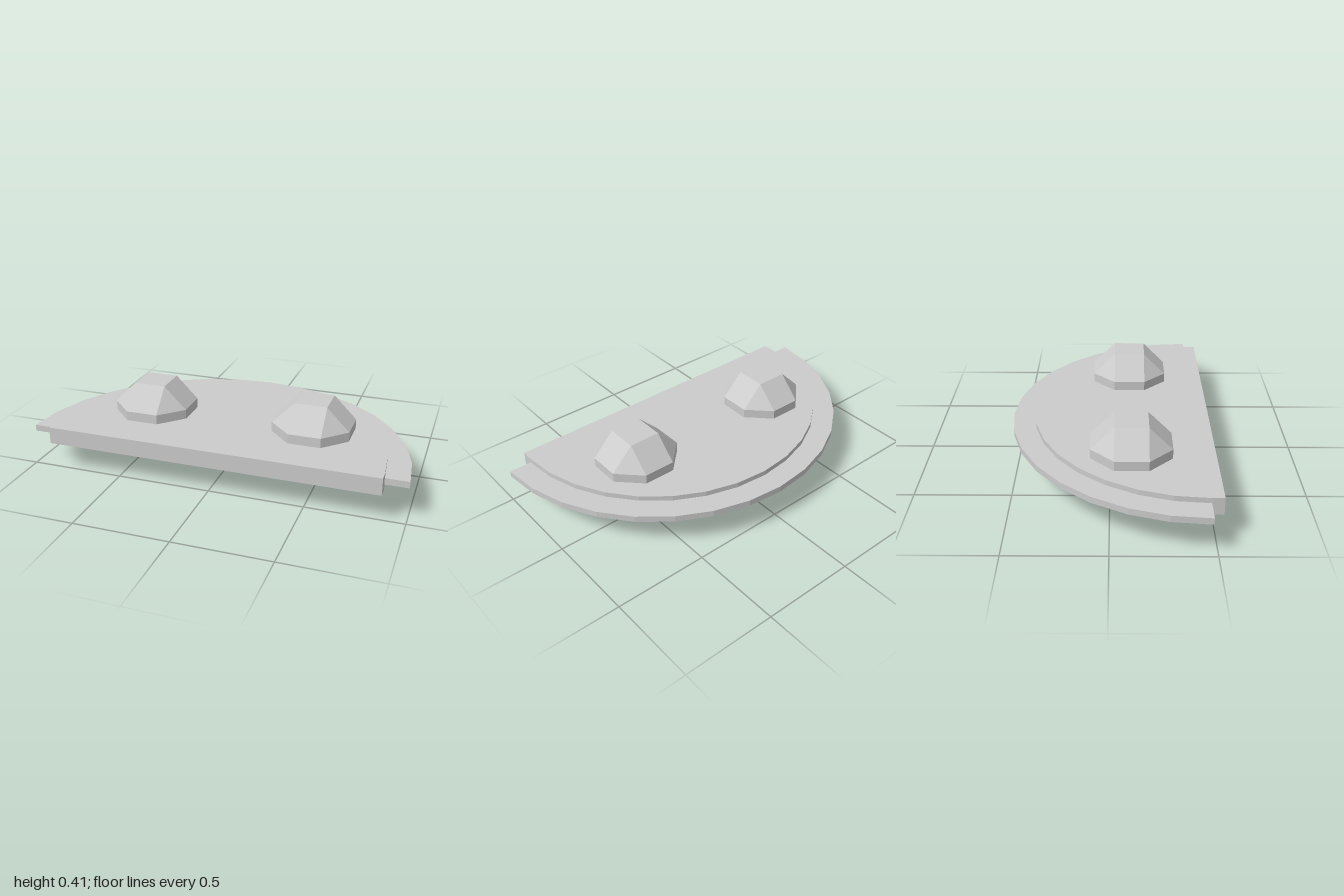
import * as THREE from 'three';
import { ConvexGeometry } from 'three/addons/geometries/ConvexGeometry.js';

const ARC_CENTRE_Z = 0.47;
const ARC_STEPS = 16;

// Half-round slab lying flat, with its straight edge at frontZ
function halfDisc(radius, frontZ, bottom, height) {
  const points = [];
  for (let i = 0; i <= ARC_STEPS; i++) {
    const a = (i / ARC_STEPS) * Math.PI;
    points.push(new THREE.Vector2(radius * Math.cos(a), radius * Math.sin(a) - ARC_CENTRE_Z));
  }
  if (frontZ > ARC_CENTRE_Z) {
    points.push(new THREE.Vector2(-radius, -frontZ), new THREE.Vector2(radius, -frontZ));
  }
  const geometry = new THREE.ExtrudeGeometry(new THREE.Shape(points), { depth: height, bevelEnabled: false });
  geometry.rotateX(-Math.PI / 2);
  geometry.translate(0, bottom, 0);
  return geometry;
}

// Faceted ball with an octagonal outline along every axis
function facetedBall(radius) {
  const s = radius * Math.tan(Math.PI / 8);
  const points = [];
  for (const x of [-1, 1]) for (const y of [-1, 1]) for (const z of [-1, 1]) {
    points.push(
      new THREE.Vector3(x * radius, y * s, z * s),
      new THREE.Vector3(x * s, y * radius, z * s),
      new THREE.Vector3(x * s, y * s, z * radius)
    );
  }
  return new ConvexGeometry(points);
}

export function createModel() {
  const group = new THREE.Group();
  const material = new THREE.MeshStandardMaterial({ color: 0xcccccc, flatShading: true });

  const add = (name, geometry) => {
    const mesh = new THREE.Mesh(geometry, material);
    mesh.name = name;
    group.add(mesh);
    return mesh;
  };

  // Thick plate and the thin flange around its curved edge
  add('plate', halfDisc(0.88, 0.53, 0.148, 0.091));
  add('rim', halfDisc(1, ARC_CENTRE_Z, 0.177, 0.034));

  // Pair of balls set through the plate
  const ball = facetedBall(0.205);
  for (const side of [-1, 1]) {
    add(side > 0 ? 'leftBall' : 'rightBall', ball).position.set(side * 0.445, 0.205, 0.107);
  }

  return group;
}
